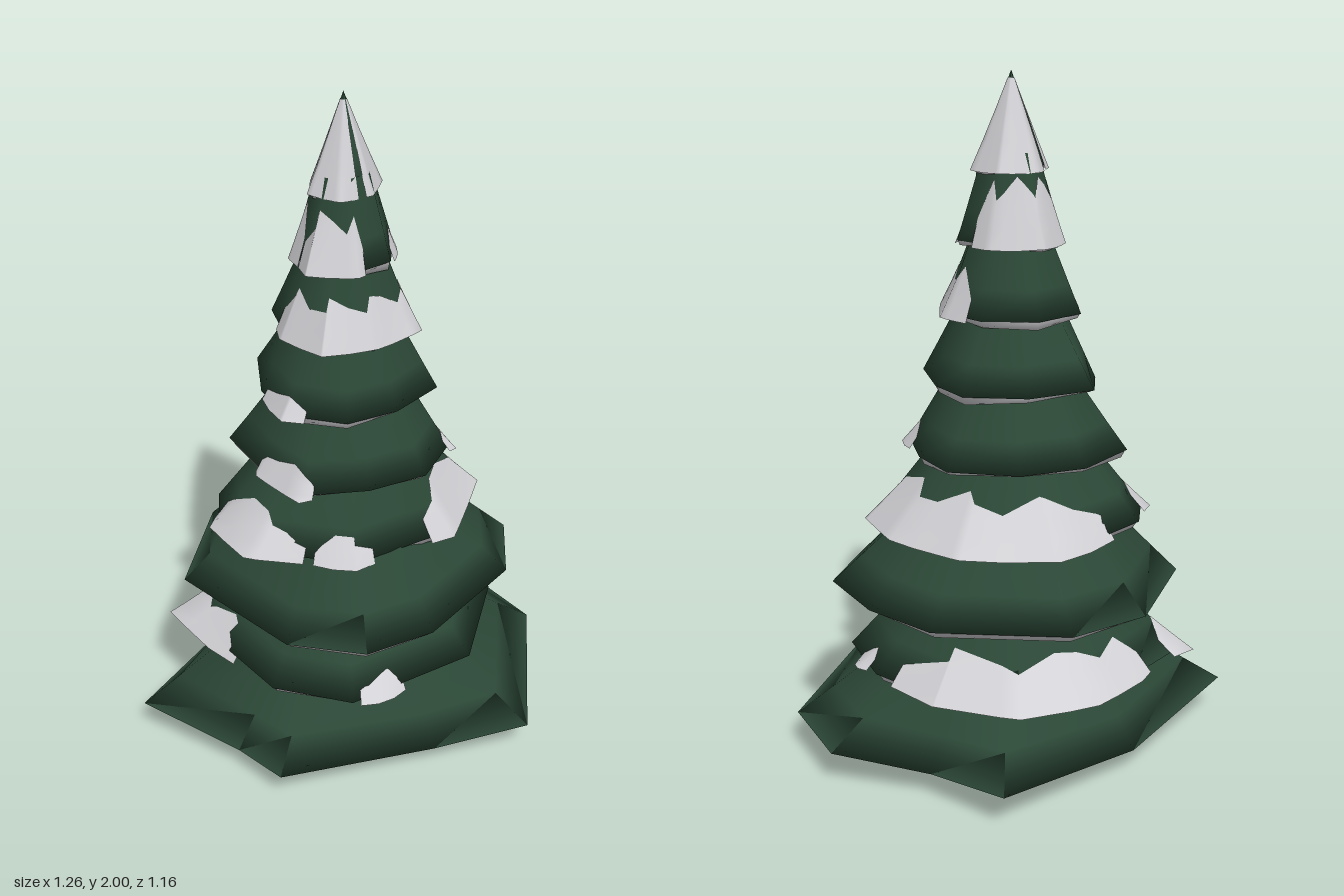
import * as THREE from 'three';

const AXIS_X = -0.015, AXIS_Z = -0.05, TAU = Math.PI * 2, RAD = Math.PI / 180;
const TIER_COUNT = 9;
const mat = (name, color) => {
  const m = new THREE.MeshStandardMaterial({ color, side: THREE.DoubleSide });
  m.name = name;
  return m;
};

// Rim corners of the four broad lower tiers, x,z pairs in hundredths
const LOWER_RIMS = [
  [63, -9, 59, 20, 15.5, 58, -10, 43, -54, 22, -54, 3, -63, -32, -15, -50, 36, -58, 43, -31],
  [46, -6, 41, 18, 10, 38, -32, 30, -44, 8, -40, -41, -17, -47, 3, -54, 26, -51, 40, -30],
  [48, -6, 47, 18, 29, 35, -10, 41, -32, 36, -45, 16, -46, -30, -15, -54, 11, -55, 42, -30],
  [38, -6, 35, 13, 9, 28, -22, 21, -41, -4, -38, -22, -27, -35, 10, -46, 31, -30],
];

// Snow patches by tier: from degrees, to degrees, height
const PATCHES = {
  1: [[242, 350, 0.11], [188, 229, 0.1], [108, 128, 0.06], [6, 16, 0.05]],
  3: [[250, 442, 0.14], [155, 212, 0.11], [118, 150, 0.07]],
  4: [[150, 195, 0.06], [34, 50, 0.06]],
  5: [[160, 205, 0.05]],
  6: [[-15, 212, 0.13]],
  7: [[196, 352, 0.18], [108, 194, 0.16], [18, 56, 0.08]],
  8: [[106, 212, 0.245], [223, 449, 0.245]],
};

// Rim corners as sorted angle and radius; upper tiers shrink evenly with a wobble
function cornersOf(t) {
  const rim = LOWER_RIMS[t], out = [];
  if (!rim) {
    const n = 14 - t, size = 0.315 - 0.054 * (t - 4);
    for (let i = 0; i < n; i++) {
      const a = ((i + 0.3) / n) * TAU;
      out.push({ a, r: size * (1 + 0.1 * Math.sin(i * 2.6 + t) - 0.06 * Math.sin(a)) });
    }
    return out;
  }
  for (let i = 0; i < rim.length; i += 2) {
    const x = rim[i] / 100 - AXIS_X, z = rim[i + 1] / 100 - AXIS_Z;
    out.push({ a: (Math.atan2(z, x) + TAU) % TAU, r: Math.hypot(x, z) });
  }
  return out.sort((p, q) => p.a - q.a);
}

// Radius of the straight-edged rim at any angle
function rimRadius(corners, angle) {
  const a = ((angle % TAU) + TAU) % TAU, n = corners.length;
  const j = Math.max(0, corners.findIndex((c) => c.a > a + 1e-9));
  const p = corners[(j + n - 1) % n], q = corners[j];
  const span = (q.a - p.a + TAU) % TAU, d = (a - p.a + TAU) % TAU;
  return (p.r * q.r * Math.sin(span)) / (p.r * Math.sin(d) + q.r * Math.sin(span - d));
}

// Surface joining rows of points, each given by point(row, angle, column)
function loft(angles, rows, closed, point) {
  const pos = [], idx = [], n = angles.length;
  for (let j = 0; j < rows; j++) {
    angles.forEach((a, i) => {
      const [r, y] = point(j, a, i);
      pos.push(AXIS_X + r * Math.cos(a), y, AXIS_Z + r * Math.sin(a));
    });
  }
  for (let j = 0; j < rows - 1; j++) {
    for (let i = 0; i < (closed ? n : n - 1); i++) {
      const a = j * n + i, b = j * n + ((i + 1) % n), c = a + n, d = b + n;
      idx.push(a, c, b, b, c, d);
    }
  }
  const g = new THREE.BufferGeometry();
  g.setAttribute('position', new THREE.Float32BufferAttribute(pos, 3));
  g.setIndex(idx);
  g.computeVertexNormals();
  return g;
}

export function createModel() {
  const tree = new THREE.Group();
  tree.name = 'snowyFirTree';
  const needles = mat('needleGreen', 0x2b4736);
  const snow = mat('snowWhite', 0xd2d2d6);
  const bark = mat('barkBrown', 0x4c3f39);
  const add = (name, geometry, material, parent) => {
    const m = new THREE.Mesh(geometry, material);
    m.name = name;
    parent.add(m);
    return m;
  };

  // Trunk
  const trunk = new THREE.CylinderGeometry(0.05, 0.057, 0.16, 10);
  add('trunk', trunk, bark, tree).position.set(AXIS_X, 0.08, AXIS_Z);

  for (let t = 0; t < TIER_COUNT; t++) {
    const group = new THREE.Group();
    group.name = `tier${t + 1}`;
    tree.add(group);
    const isTip = t === TIER_COUNT - 1;
    const base = 0.085 + 0.206 * t;
    const top = isTip ? 2 - base : 0.25;
    const taper = isTip ? 1 / top : 0.4 / 0.21;
    const corners = cornersOf(t);
    const mean = corners.reduce((s, c) => s + c.r, 0) / corners.length;

    // Boughs narrow and grow rounder with height; long tips lift slightly
    const surface = (a, h) => {
      const r = rimRadius(corners, a), up = h / top;
      return [
        (r + (mean - r) * 0.5 * up) * Math.max(0, 1 - taper * h),
        base + h + (r - mean) * 0.2 * (1 - up),
      ];
    };
    const ring = corners.map((c) => c.a);

    // Boughs: one shell whose underside turns in towards the trunk
    add('boughs', loft(ring, 5, true, (j, a) => (
      j === 0 ? [0.04, base + 0.025] : surface(a, (top * (j - 1)) / 3)
    )), needles, group);

    // Snow under the boughs, sagging unevenly below the rim
    if (t > 0) {
      add('snowUnderside', loft(ring, 3, true, (j, a) => {
        const [r, y] = surface(a, 0);
        const sag = 0.016 + 0.01 * Math.sin(2 * a + t * 1.7);
        return [[0.04, base], [r * 0.95, y - sag], [r * 0.985, y]][j];
      }), snow, group);
    }

    // Snow patches with jagged upper edges, lying close to the boughs at the top
    for (const [from, to, height] of PATCHES[t] ?? []) {
      const a0 = from * RAD, a1 = to * RAD;
      const steps = Math.max(3, Math.round((to - from) / 20));
      const angles = Array.from({ length: steps + 1 }, (_, i) => a0 + ((a1 - a0) * i) / steps);
      for (const c of corners) {
        for (const turn of [-TAU, 0, TAU]) {
          if (c.a + turn > a0 && c.a + turn < a1) angles.push(c.a + turn);
        }
      }
      angles.sort((p, q) => p - q);
      add('snowPatch', loft(angles, 4, false, (j, a, i) => {
        const f = j / 3, end = i === 0 || i === angles.length - 1;
        const jag = isTip ? 1 : 0.85 + 0.2 * Math.sin(i * 1.9 + t);
        const [r, y] = surface(a, f * height * (end && !isTip ? 0.4 : jag));
        const overhang = end ? 0.01 : 0.05;
        return [r * (1 + overhang * (1 - f)) + 0.008 * (1 - f * 0.8), y - 0.01 * (1 - f)];
      }), snow, group);
    }
  }
  return tree;
}
